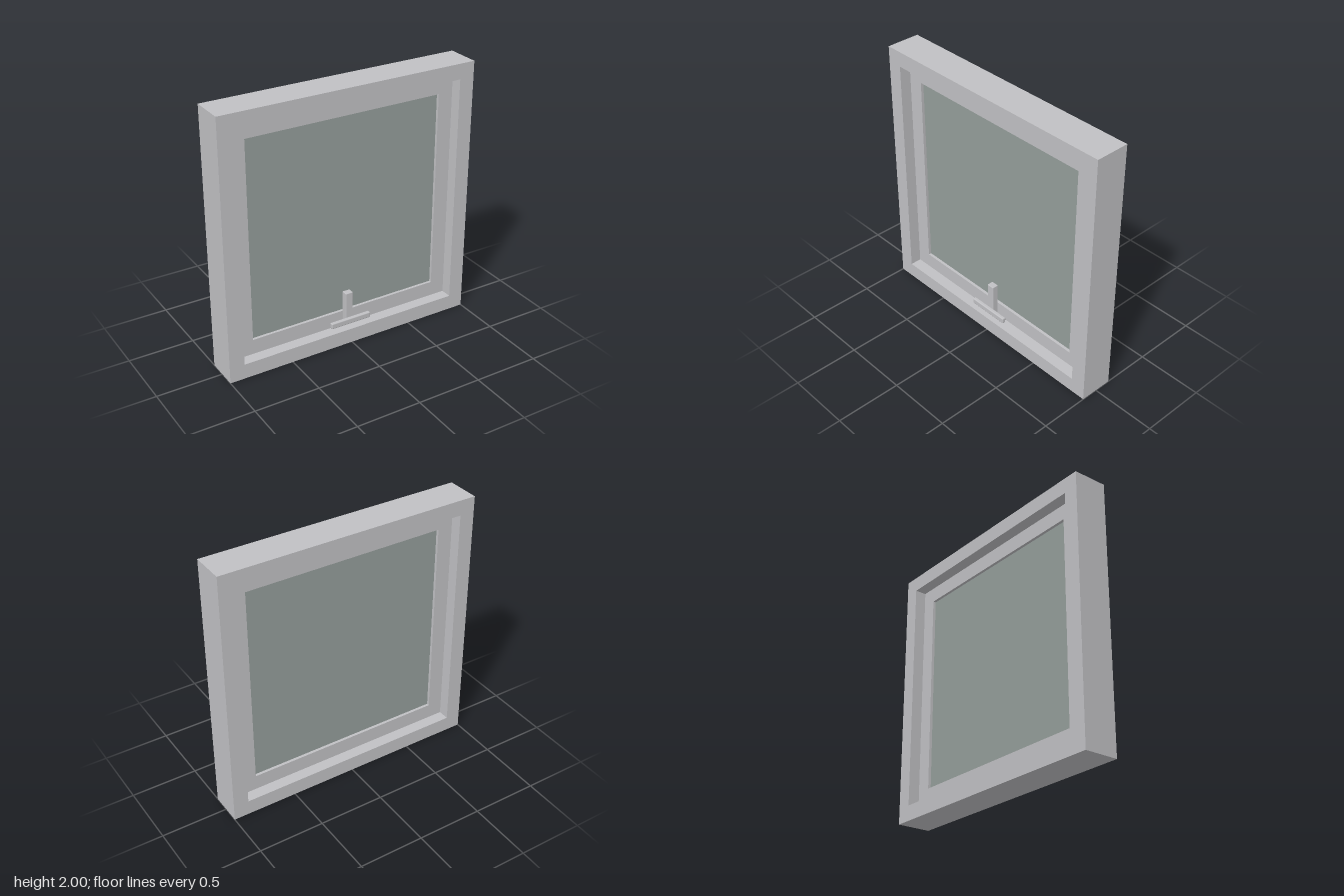
import * as THREE from 'three';
import { RoundedBoxGeometry } from 'three/addons/geometries/RoundedBoxGeometry.js';

export function createModel() {
  const frameGrey = new THREE.MeshStandardMaterial({ color: 0xc0c0c3 });
  frameGrey.name = 'frameGrey';
  const glassGrey = new THREE.MeshStandardMaterial({ color: 0x949d9a });
  glassGrey.name = 'glassGrey';

  const model = new THREE.Group();
  model.name = 'window';

  // Box given by its bounds; a radius rounds the edges
  function bar(parent, name, [x0, x1], [y0, y1], [z0, z1], material = frameGrey, radius = 0) {
    const size = [x1 - x0, y1 - y0, z1 - z0];
    const geometry = radius
      ? new RoundedBoxGeometry(...size, 2, radius)
      : new THREE.BoxGeometry(...size);
    const mesh = new THREE.Mesh(geometry, material);
    mesh.position.set((x0 + x1) / 2, (y0 + y1) / 2, (z0 + z1) / 2);
    mesh.name = name;
    parent.add(mesh);
  }

  // Rectangular surround: full-height stiles with rails between them
  function surround(name, halfW, bottom, top, width, halfD) {
    const group = new THREE.Group();
    group.name = name;
    const inner = halfW - width;
    const z = [-halfD, halfD];
    bar(group, 'leftStile', [inner, halfW], [bottom, top], z);
    bar(group, 'rightStile', [-halfW, -inner], [bottom, top], z);
    bar(group, 'bottomRail', [-inner, inner], [bottom, bottom + width], z);
    bar(group, 'topRail', [-inner, inner], [top - width, top], z);
    model.add(group);
  }

  surround('outerFrame', 1, 0, 2, 0.116, 0.13);
  surround('sash', 0.884, 0.116, 1.884, 0.116, 0.042);

  // Pane set into the sash
  bar(model, 'glass', [-0.768, 0.768], [0.232, 1.768], [-0.02, 0.02], glassGrey);

  // Latch on the bottom rail
  const latch = new THREE.Group();
  latch.name = 'latch';
  bar(latch, 'latchBar', [-0.03, 0.03], [0.14, 0.4], [0.042, 0.092], frameGrey, 0.005);
  bar(latch, 'latchHandle', [-0.165, 0.165], [0.155, 0.2], [0.09, 0.12], frameGrey, 0.008);
  model.add(latch);

  return model;
}
